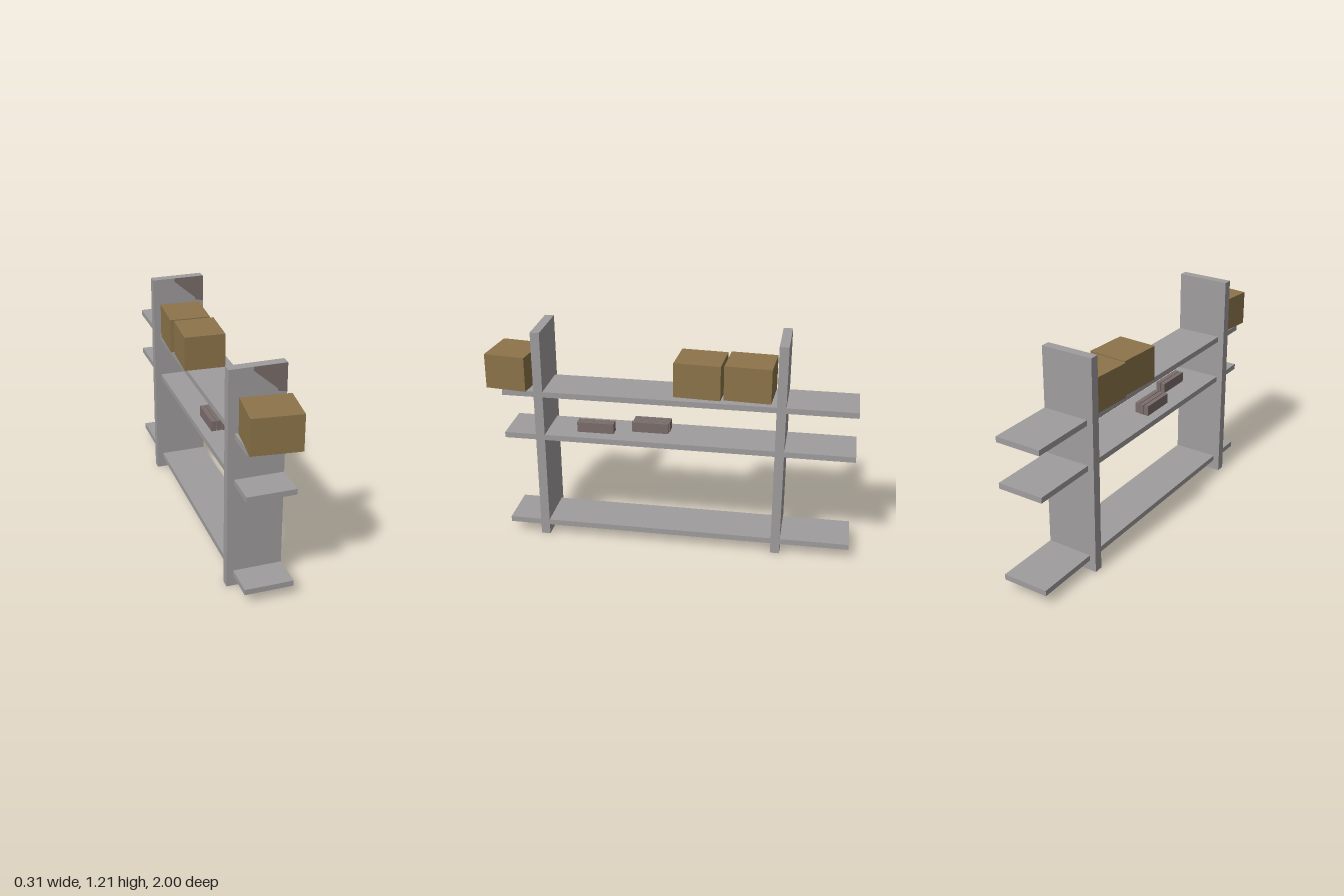
import * as THREE from 'three';

const grey = new THREE.MeshStandardMaterial({ color: 0xa09d9e });
const cardboard = new THREE.MeshStandardMaterial({ color: 0x8c744a });
const brown = new THREE.MeshStandardMaterial({ color: 0x7b6e6c });
grey.name = 'grey board';
cardboard.name = 'cardboard';
brown.name = 'dull brown';

export function createModel() {
  const model = new THREE.Group();
  model.name = 'shelfUnit';

  // Box given by its size and the centre of its base
  function block(name, material, [w, h, d], [x, y, z], turn = 0) {
    const mesh = new THREE.Mesh(new THREE.BoxGeometry(w, h, d), material);
    mesh.name = name;
    mesh.position.set(x, y + h / 2, z);
    mesh.rotation.y = turn;
    model.add(mesh);
  }

  // Worn corner on the front face of each upright
  const patch = new THREE.ShapeGeometry(new THREE.Shape([
    [0.14, 1.21], [-0.03, 1.21], [-0.03, 1.19], [0.09, 1.085], [0.095, 1.07], [0.14, 1.06],
  ].map(([x, y]) => new THREE.Vector2(x, y))));

  // Uprights
  for (const z of [0.705, -0.6]) {
    block('upright', grey, [0.295, 1.21, 0.05], [-0.0075, 0, z]);
    const mesh = new THREE.Mesh(patch, brown);
    mesh.name = 'wornCorner';
    mesh.position.z = z + 0.027;
    model.add(mesh);
  }

  // Shelves running through the uprights
  for (const y of [0.06, 0.592, 0.845]) {
    block('shelf', grey, [0.26, 0.031, 1.905], [0.01, y, -0.0475]);
  }

  // Cardboard boxes on the top shelf
  block('storageBox', cardboard, [0.257, 0.192, 0.227], [0.01, 0.876, 0.868], -0.117);
  for (const z of [-0.424, -0.156]) {
    block('storageBox', cardboard, [0.225, 0.192, 0.253], [-0.015, 0.876, z], -0.06);
  }

  // Small bars lying on the middle shelf: a pair and a group of three
  for (const [x, z] of [[0.028, 0.412], [0.057, 0.412], [-0.053, 0.112], [-0.023, 0.112], [0.007, 0.117]]) {
    block('bar', brown, [0.026, 0.057, 0.203], [x, 0.623, z]);
  }

  return model;
}
